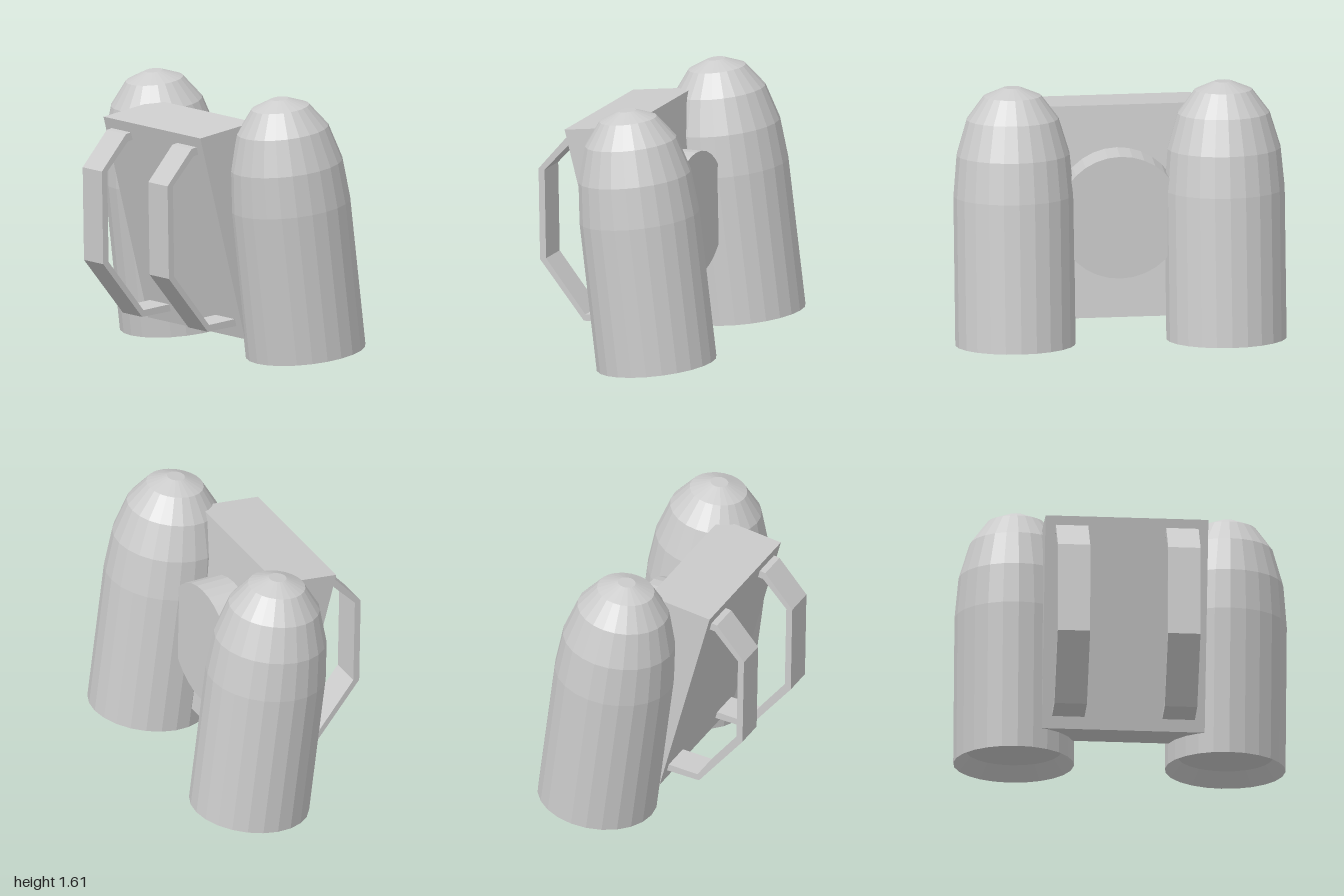
import * as THREE from 'three';

const material = new THREE.MeshStandardMaterial({ color: 0xcccccc, flatShading: true });

function addMesh(parent, name, geometry) {
  const mesh = new THREE.Mesh(geometry, material);
  mesh.name = name;
  parent.add(mesh);
  return mesh;
}

// Extrudes a side outline of [z, y] points across the width, centred on x.
function sideExtrude(points, width, x = 0) {
  const shape = new THREE.Shape(points.map(([z, y]) => new THREE.Vector2(z, y)));
  const geometry = new THREE.ExtrudeGeometry(shape, { depth: width, bevelEnabled: false });
  geometry.rotateY(-Math.PI / 2);
  geometry.translate(x + width / 2, 0, 0);
  return geometry;
}

export function createModel() {
  const model = new THREE.Group();
  model.name = 'backpackThruster';

  // Tank: recessed nozzle below, straight body, stepped dome with a small flat tip
  const tankProfile = [
    [0, 0.085], [0.287, 0.085], [0.363, 0], [0.363, 0.911], [0.341, 1.161],
    [0.277, 1.376], [0.174, 1.515], [0.054, 1.566], [0, 1.566],
  ].map(([r, y]) => new THREE.Vector2(r, y));
  const tankGeometry = new THREE.LatheGeometry(tankProfile, 24);

  // Strap: bent flat band, outer edge then inner edge
  const strapOutline = [
    [0.08, 0.205], [0.32, 0.19], [0.61, 0.54], [0.62, 1.105], [0.44, 1.315], [0.36, 1.33],
    [0.36, 1.28], [0.425, 1.27], [0.58, 1.1], [0.57, 0.55], [0.31, 0.23], [0.08, 0.25],
  ];

  for (const side of [1, -1]) {
    const label = side > 0 ? 'left' : 'right';
    const tank = addMesh(model, label + 'Tank', tankGeometry);
    tank.position.set(side * 0.637, 0.046, -0.257);
    tank.rotation.x = 0.125;
    addMesh(model, label + 'Strap', sideExtrude(strapOutline, 0.195, side * 0.332));
  }

  // Wedge-shaped back plate between the tanks
  const plateOutline = [[0.087, 0.13], [0.42, 1.385], [0.02, 1.445], [-0.145, 0.16]];
  addMesh(model, 'backPlate', sideExtrude(plateOutline, 0.98));

  // Round hub joining the tanks at the rear
  const hubGeometry = new THREE.CylinderGeometry(0.38, 0.38, 0.27, 32);
  hubGeometry.rotateX(Math.PI / 2);
  const hub = addMesh(model, 'rearHub', hubGeometry);
  hub.position.set(0, 0.81, -0.102);
  hub.rotation.x = 0.027;

  return model;
}
